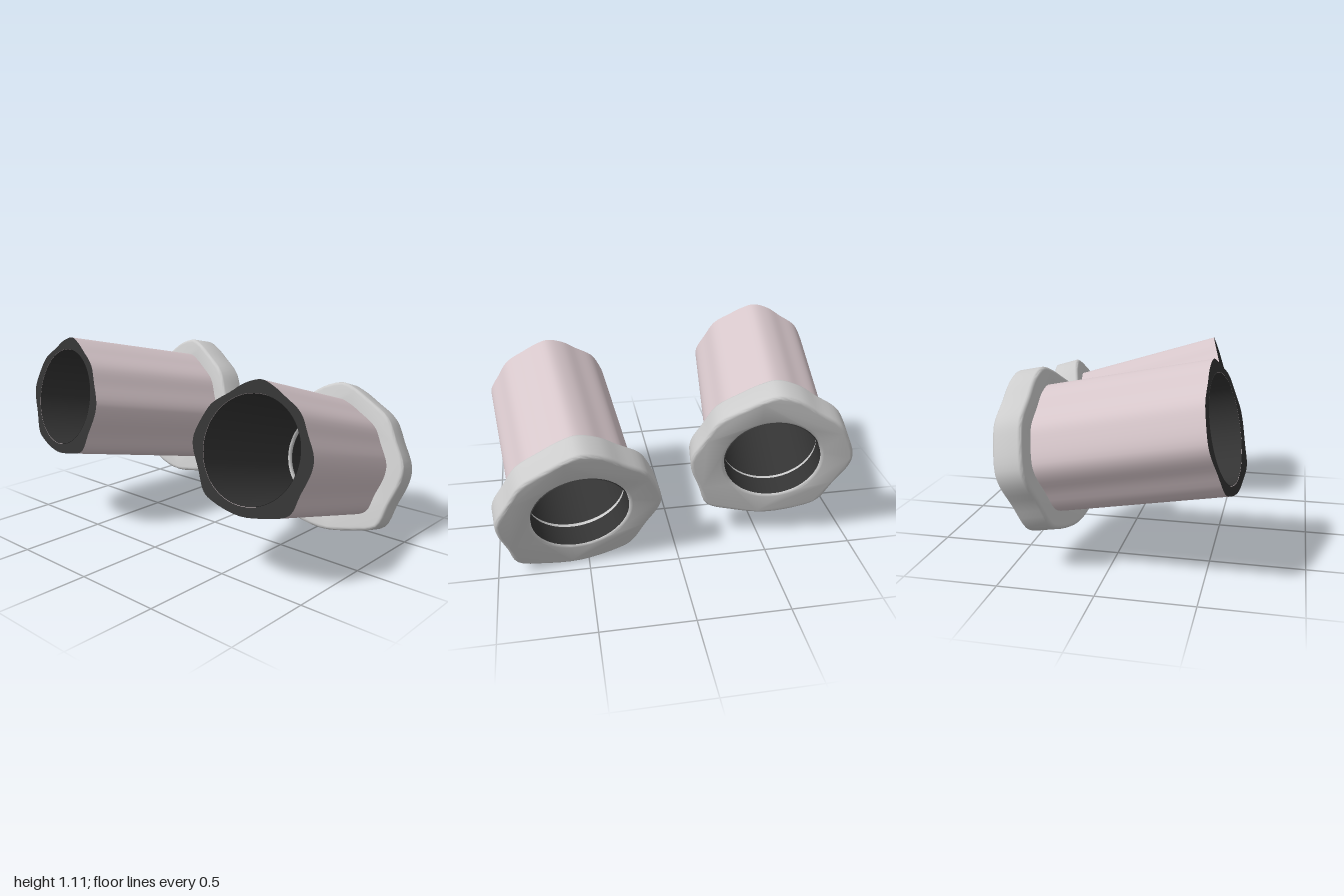
import * as THREE from 'three';
import { toCreasedNormals } from 'three/addons/utils/BufferGeometryUtils.js';

const LENGTH = 1.05, FLANGE = 0.16, BORE = 0.275, LIP = 0.262;

// Lobed outline shared by the sleeve and its flange
const OUTLINE = [
  [0, 0.345], [-0.09, 0.318], [-0.17, 0.262], [-0.265, 0.195], [-0.305, 0.13],
  [-0.345, 0.02], [-0.338, -0.04], [-0.285, -0.14], [-0.228, -0.25], [-0.17, -0.285],
  [0, -0.325], [0.16, -0.303], [0.27, -0.265], [0.308, -0.16], [0.345, -0.05],
  [0.345, 0.02], [0.295, 0.12], [0.24, 0.215], [0.14, 0.282], [0.07, 0.322],
];

// Outline scaled up, with a round hole through it
function ringShape(scale, hole) {
  const points = OUTLINE.map(([x, y]) => new THREE.Vector3(x * scale, y * scale, 0));
  const curve = new THREE.CatmullRomCurve3(points, true, 'centripetal');
  const shape = new THREE.Shape(curve.getPoints(80).slice(0, -1).map((p) => new THREE.Vector2(p.x, p.y)));
  shape.holes.push(new THREE.Path().absarc(0, 0, hole, 0, Math.PI * 2, true));
  return shape;
}

function part(name, geometry, material) {
  const mesh = new THREE.Mesh(geometry, material);
  mesh.name = name;
  return mesh;
}

export function createModel() {
  const model = new THREE.Group();
  model.name = 'flangedSleeves';
  const pink = new THREE.MeshStandardMaterial({ color: 0xd6c6ca });
  const grey = new THREE.MeshStandardMaterial({ color: 0xcccccc });
  const dark = new THREE.MeshStandardMaterial({ color: 0x333333 });
  const darkInside = new THREE.MeshStandardMaterial({ color: 0x333333, side: THREE.DoubleSide });

  // Sleeve: lobed tube with dark end face, front at z = 0
  const sleeveLength = LENGTH - FLANGE + 0.03;
  const sleeve = toCreasedNormals(new THREE.ExtrudeGeometry(ringShape(1, BORE + 0.002), {
    depth: sleeveLength, bevelEnabled: false, curveSegments: 32,
  }).translate(0, 0, -sleeveLength), 0.5);

  // Flange: wider collar with softened edges at the rear
  const bevel = 0.018;
  const flange = toCreasedNormals(new THREE.ExtrudeGeometry(ringShape(1.28, LIP + 0.002), {
    depth: FLANGE - 2 * bevel, bevelThickness: bevel, bevelSize: bevel,
    bevelOffset: -bevel, bevelSegments: 3, curveSegments: 32,
  }).translate(0, 0, bevel - LENGTH), 0.6);

  // Bore lining, narrowing to a lip inside the flange
  const step = LENGTH - FLANGE + 0.03;
  const profile = [[BORE, 0], [BORE, -step], [LIP, -step], [LIP, 0.006 - LENGTH]];
  const lining = toCreasedNormals(new THREE.LatheGeometry(
    profile.map(([r, z]) => new THREE.Vector2(r, z)), 64).rotateX(Math.PI / 2), 0.5);

  // Each sleeve: centre of the front opening, and the direction it faces
  const placements = [
    { name: 'leftSleeve', at: [0.648, 0.698, 0.465], facing: [0.113, 0.293, 1] },
    { name: 'rightSleeve', at: [-0.657, 0.787, 0.58], facing: [-0.13, 0.217, 1] },
  ];
  for (const { name, at, facing } of placements) {
    const group = new THREE.Group();
    group.name = name;
    group.add(part('sleeveBody', sleeve, [dark, pink]));
    group.add(part('flange', flange, grey));
    group.add(part('boreLining', lining, darkInside));
    group.position.set(...at);
    group.lookAt(new THREE.Vector3(...at).add(new THREE.Vector3(...facing)));
    model.add(group);
  }
  return model;
}
